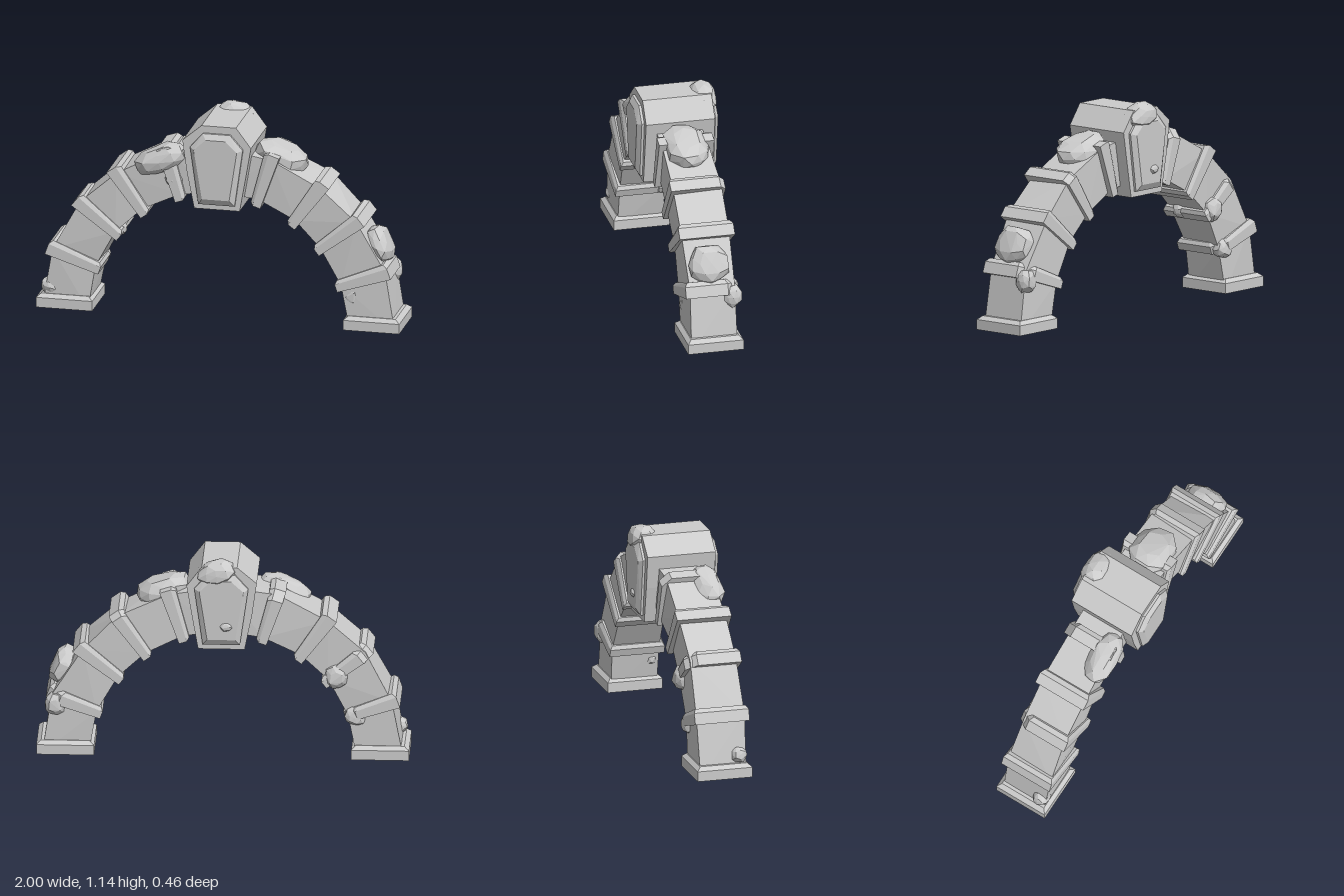
import * as THREE from 'three';
import { ConvexGeometry } from 'three/addons/geometries/ConvexGeometry.js';

const stone = new THREE.MeshStandardMaterial({ color: 0xcccccc, flatShading: true });
const ZC = 0.008; // middle of the arch's depth

// repeatable value in -1..1
function noise(a, b = 0, c = 0) {
  const s = Math.sin(a * 127.1 + b * 311.7 + c * 74.7) * 43758.5453;
  return (s - Math.floor(s)) * 2 - 1;
}

function hull(name, points) {
  const mesh = new THREE.Mesh(new ConvexGeometry(points), stone);
  mesh.name = name;
  return mesh;
}

// four-cornered section across the arch; chip = [corner, size] knocks one corner off
function section(side, deg, halfR, halfZ, chip, rough = 0) {
  const t = THREE.MathUtils.degToRad(deg);
  const corners = [[1, 1], [1, -1], [-1, -1], [-1, 1]];
  const pts = [];
  corners.forEach(([a, b], i) => {
    const dr = rough * noise(deg, side, i), dz = rough * noise(i, deg, side);
    const add = (r, z) => {
      const R = 0.845 + r;
      pts.push(new THREE.Vector3(side * R * Math.cos(t), Math.max(0, R * Math.sin(t)), ZC + z));
    };
    if (chip && chip[0] === i) {
      add(a * (halfR - chip[1]), b * halfZ);
      add(a * halfR, b * (halfZ - chip[1]));
    } else add(a * halfR + dr, b * halfZ + dz);
  });
  return pts;
}

// faceted boulder: rough ellipsoid, optionally tilted about z
function rock(name, pos, size, tilt = 0, seed = 1) {
  const p = new THREE.IcosahedronGeometry(1, 1).attributes.position;
  const pts = [];
  for (let i = 0; i < p.count; i++) {
    const v = new THREE.Vector3().fromBufferAttribute(p, i);
    const k = v.toArray().map(n => Math.round(n * 50));
    // push towards a boxier form, then roughen
    const m = Math.max(Math.abs(v.x), Math.abs(v.y), Math.abs(v.z));
    v.multiplyScalar(THREE.MathUtils.lerp(1, 0.9 / m, 0.45) + 0.1 * noise(k[0] + seed, k[1], k[2]));
    pts.push(v.multiply(new THREE.Vector3(...size)));
  }
  const mesh = hull(name, pts);
  mesh.position.set(...pos);
  mesh.rotation.z = THREE.MathUtils.degToRad(tilt);
  return mesh;
}

// one half of the arch, from the foot to the keystone
function halfArch(side) {
  const g = new THREE.Group();
  g.name = side > 0 ? 'leftHalf' : 'rightHalf';
  const bands = [20, 38.5, 54.5, 72.5];
  const stops = [0, ...bands, 90];
  const ring = d => section(side, d, 0.125, 0.127, null, d % 90 ? 0.008 : 0);

  // shaft blocks
  for (let i = 0; i < stops.length - 1; i++)
    g.add(hull('shaftBlock', [...ring(stops[i]), ...ring(stops[i + 1])]));

  // raised bands, chamfered on the upper side, some with broken corners
  const chips = side > 0
    ? { 20: [1, 0.07], 54.5: [1, 0.03] }
    : { 20: [2, 0.07], 38.5: [1, 0.06], 72.5: [1, 0.05] };
  for (const d of bands) {
    const c = chips[d];
    g.add(hull('band', [
      ...section(side, d - 2.3, 0.154, 0.152, c),
      ...section(side, d + 1.3, 0.154, 0.152, c),
      ...section(side, d + 2.7, 0.138, 0.139, c),
    ]));
  }

  // plinth
  const foot = [];
  for (const [y, w, d] of [[0, 0.155, 0.153], [0.055, 0.155, 0.153], [0.075, 0.13, 0.132]])
    for (const a of [-1, 1]) for (const b of [-1, 1])
      foot.push(new THREE.Vector3(side * (0.845 + a * w), y, ZC + b * d));
  g.add(hull('plinth', foot));
  return g;
}

function outline(pts) {
  return new THREE.Shape(pts.map(p => new THREE.Vector2(...p)));
}

function keystone() {
  const g = new THREE.Group();
  g.name = 'keystone';
  const profile = [[-0.12, 0.64], [0.13, 0.64], [0.165, 0.84], [0.192, 1.0], [0.11, 1.11], [-0.08, 1.11], [-0.185, 1.02], [-0.16, 0.84]];
  const core = new THREE.Mesh(new THREE.ExtrudeGeometry(outline(profile), { depth: 0.38, bevelEnabled: false }), stone);
  core.name = 'keystoneBlock';
  core.position.z = -0.183;
  g.add(core);

  // tapered coffin-shaped plates on both faces
  const base = [[-0.095, 0.67], [0.105, 0.67], [0.15, 0.99], [0.08, 1.07], [-0.07, 1.07], [-0.14, 0.99]];
  const face = [[-0.07, 0.705], [0.08, 0.705], [0.122, 0.98], [0.06, 1.04], [-0.05, 1.04], [-0.115, 0.98]];
  for (const [name, z0, z1] of [['frontPlate', 0.19, 0.232], ['backPlate', -0.175, -0.217]])
    g.add(hull(name, [
      ...base.map(([x, y]) => new THREE.Vector3(x, y, z0)),
      ...base.map(([x, y]) => new THREE.Vector3(x, y, z0 + (z1 - z0) * 0.5)),
      ...face.map(([x, y]) => new THREE.Vector3(x, y, z1)),
    ]));
  return g;
}

export function createModel() {
  const model = new THREE.Group();
  model.name = 'stoneArch';
  model.add(halfArch(1), halfArch(-1), keystone());

  // boulders lodged in the masonry
  model.add(
    rock('crownRock', [0.03, 1.07, -0.155], [0.11, 0.068, 0.075], -12, 3),
    rock('leftShoulderRock', [0.32, 0.915, 0.012], [0.15, 0.07, 0.12], -18, 5),
    rock('rightShoulderRock', [-0.32, 0.875, 0.105], [0.155, 0.075, 0.085], 24, 8),
    rock('leftLegRock', [0.865, 0.46, 0.012], [0.06, 0.105, 0.115], 25, 2),
  );

  // small broken lumps
  const lumps = [
    [-0.61, 0.47, -0.11, 0.06], [-0.57, 0.46, 0.06, 0.045], [-0.93, 0.11, 0.1, 0.045],
    [-0.71, 0.24, -0.1, 0.05], [0.73, 0.18, 0.1, 0.045], [0.9, 0.28, -0.1, 0.055],
    [-0.25, 0.77, 0.11, 0.05], [-0.02, 0.78, -0.2, 0.03],
  ];
  lumps.forEach(([x, y, z, r], i) => model.add(rock('brokenLump', [x, y, z], [r, r * 1.2, r], i * 37, i + 10)));
  return model;
}
